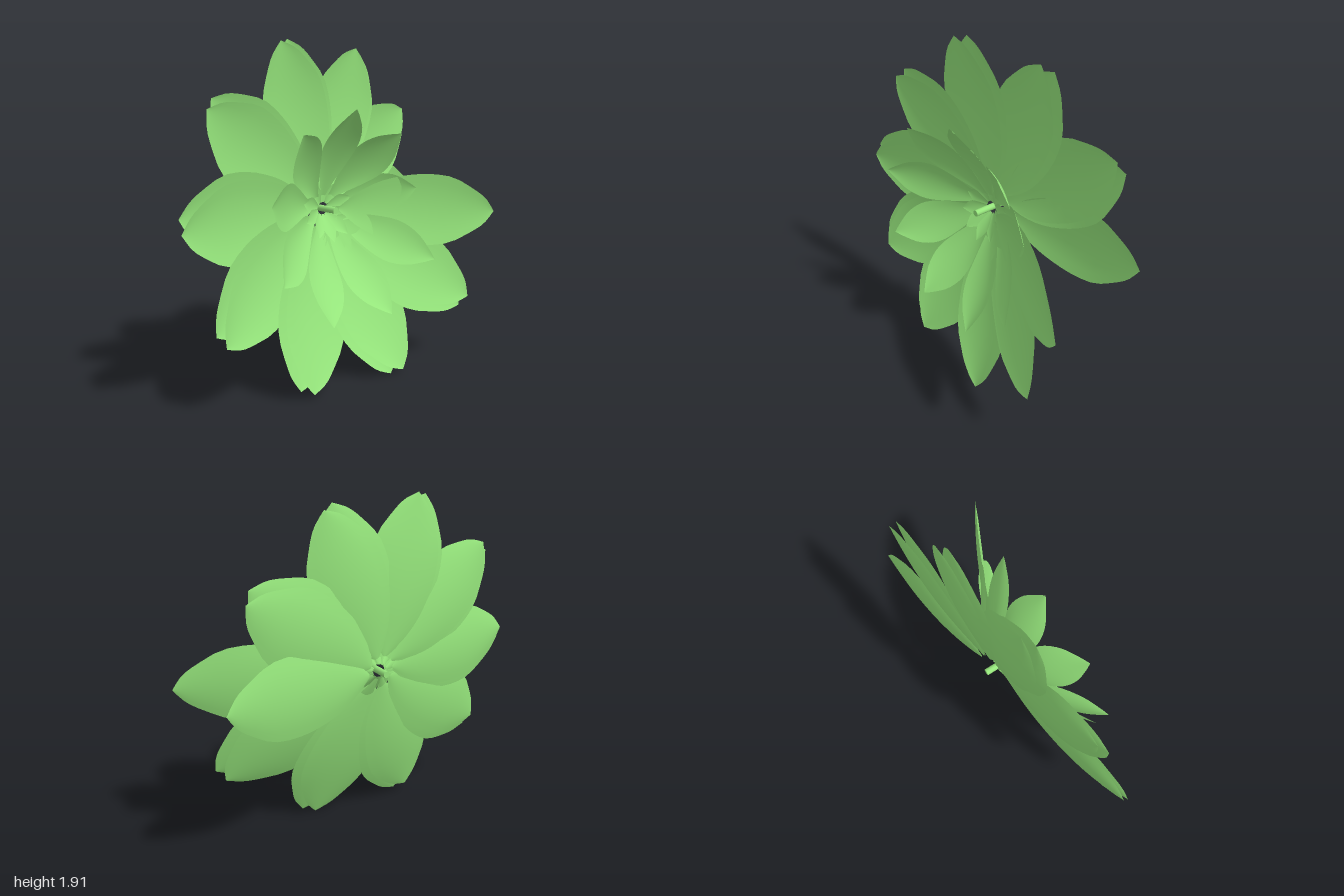
import * as THREE from 'three';

const green = new THREE.MeshStandardMaterial({ color: 0x96e67c, side: THREE.DoubleSide });

// Half-width outlines: x runs from base (0) to tip (1), y is the half width
const outline = (pts) => new THREE.SplineCurve(pts.map(([x, y]) => new THREE.Vector2(x, y)));
const broad = outline([[0, 0.012], [0.04, 0.045], [0.12, 0.105], [0.24, 0.163], [0.38, 0.2], [0.54, 0.218], [0.71, 0.203], [0.86, 0.13], [0.94, 0.075], [1, 0]]);
const slim = outline([[0, 0.01], [0.15, 0.036], [0.38, 0.093], [0.6, 0.128], [0.78, 0.105], [0.92, 0.045], [1, 0]]);
const spike = outline([[0, 0.01], [0.3, 0.032], [0.55, 0.042], [0.8, 0.024], [1, 0]]);

// One cupped petal, growing along +x and opening towards +z
function petalGeometry({ shape, r0, r1, z0, z1, sag, cup }) {
  const geo = new THREE.PlaneGeometry(1, 2, 20, 8);
  const pos = geo.attributes.position;
  const peak = Math.max(...shape.points.map((p) => p.y));
  for (let i = 0; i < pos.count; i++) {
    const p = shape.getPoint(pos.getX(i) + 0.5);
    const v = pos.getY(i);
    const w = Math.max(p.y, 0);
    pos.setXYZ(
      i,
      THREE.MathUtils.lerp(r0, r1, p.x),
      v * w,
      THREE.MathUtils.lerp(z0, z1, p.x) - sag * Math.sin(Math.PI * p.x) + cup * v * v * (w / peak)
    );
  }
  geo.computeVertexNormals();
  return geo;
}

function addPetal(group, name, degrees, options) {
  const mesh = new THREE.Mesh(petalGeometry(options), green);
  mesh.name = name;
  mesh.rotation.z = THREE.MathUtils.degToRad(degrees);
  group.add(mesh);
}

export function createModel() {
  const model = new THREE.Group();
  model.name = 'flower';
  const head = new THREE.Group();
  head.name = 'flowerHead';
  head.position.y = 0.98;
  model.add(head);

  // Outer petals: pairs every 36 degrees, winding from front to back
  for (let i = 0; i < 20; i++) {
    const angle = -36 * Math.floor((i + 1) / 2) - (i % 2 ? 0 : 4);
    addPetal(head, 'outerPetal', angle, {
      shape: broad, r0: 0.09, r1: 1.008 - 0.0002 * i * i,
      z0: -0.105 - 0.005 * i, z1: 0.32 - 0.034 * i, sag: 0.04 - 0.0005 * i, cup: 0.03,
    });
  }

  // Inner petals: nine shorter ones, raised forward; the first tucks behind an outer petal
  for (let j = 0; j < 9; j++) {
    addPetal(head, 'innerPetal', 10 + 40 * j, {
      shape: slim, r0: 0.045, r1: 0.545 + 0.013 * j,
      z0: -0.158, z1: j ? 0.115 + 0.014 * j : 0.09, sag: 0.04, cup: 0.025,
    });
  }

  // Small star of sepals around the centre
  for (let k = 0; k < 10; k++) {
    const angle = 18 + 36 * k;
    const lift = 0.06 - 0.05 * Math.sin(THREE.MathUtils.degToRad(angle));
    addPetal(head, 'sepal', angle, {
      shape: spike, r0: 0.035, r1: 0.185, z0: -0.15, z1: -0.15 + lift, sag: 0, cup: 0.008,
    });
  }

  // Thin rod through the centre
  const rod = new THREE.Mesh(new THREE.CylinderGeometry(0.019, 0.019, 0.2, 12), green);
  rod.name = 'centreRod';
  rod.rotation.x = Math.PI / 2;
  rod.position.z = -0.13;
  head.add(rod);

  return model;
}
